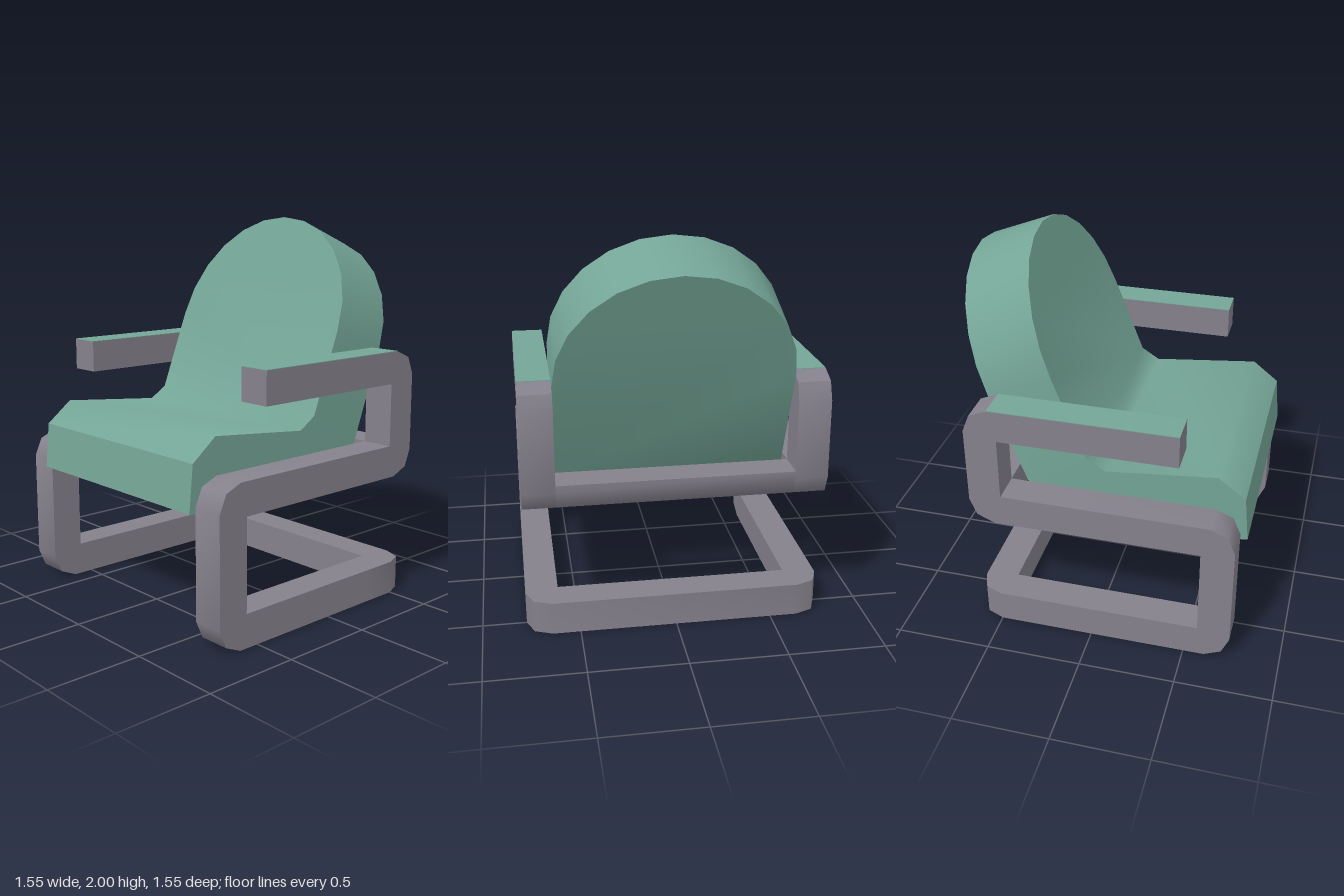
import * as THREE from 'three';
import { mergeGeometries, toCreasedNormals } from 'three/addons/utils/BufferGeometryUtils.js';

const CREASE = Math.PI / 4;
const SEAT_HALF = 0.605; // half width of the seat, inner face of the frame
const FRAME_HALF = 0.773; // outer face of the frame

const shapeOf = (points) => new THREE.Shape(points.map(([x, y]) => new THREE.Vector2(x, y)));

// Extrude a side profile (x, y) between two z values
function slab(points, z0, z1) {
  const geo = new THREE.ExtrudeGeometry(shapeOf(points), { depth: z1 - z0, bevelEnabled: false });
  return geo.translate(0, 0, z0);
}

export function createModel() {
  const chair = new THREE.Group();
  chair.name = 'cantileverArmchair';

  const frameMat = new THREE.MeshStandardMaterial({ color: 0x85818c });
  frameMat.name = 'frameGrey';
  const greenMat = new THREE.MeshStandardMaterial({ color: 0x74a596 });
  greenMat.name = 'upholsteryGreen';

  const add = (name, geo, mat) => {
    const mesh = new THREE.Mesh(toCreasedNormals(geo, CREASE), mat);
    mesh.name = name;
    chair.add(mesh);
    return mesh;
  };

  // Side frames: armrest, rear post, seat rail, front leg and floor runner in one S-shaped band
  const sideProfile = [
    [-0.45, 1.152], [0.46, 1.152], [0.46, 0.82], [-0.61, 0.82],
    [-0.70, 0.782], [-0.74, 0.69], [-0.74, 0.13], [-0.70, 0.04], [-0.61, 0],
    [0.3, 0], [0.3, 0.173], [-0.57, 0.173], [-0.57, 0.65],
    [0.5, 0.65], [0.593, 0.69], [0.63, 0.78], [0.63, 1.19], [0.593, 1.282],
    [0.5, 1.32], [-0.45, 1.32],
  ];
  for (const [side, z0, z1] of [['left', SEAT_HALF, FRAME_HALF], ['right', -FRAME_HALF, -SEAT_HALF]]) {
    add(`${side}SideFrame`, slab(sideProfile, z0, z1), frameMat);
    // Green inlay on top of the armrest
    const pad = new THREE.BoxGeometry(0.95, 0.004, z1 - z0);
    pad.translate(0.025, 1.321, (z0 + z1) / 2);
    add(`${side}ArmPad`, pad, greenMat);
  }

  // Rear cross rail under the backrest
  add('rearRail', slab([
    [0.46, 0.82], [0.46, 0.65], [0.5, 0.65], [0.593, 0.69], [0.63, 0.78], [0.63, 0.82],
  ], -SEAT_HALF, SEAT_HALF), frameMat);

  // Rear of the floor base: U in plan with cut corners
  const halfPlan = [[0.3, FRAME_HALF], [0.5, FRAME_HALF], [0.593, 0.735], [0.63, 0.643]];
  const mirrored = halfPlan.map(([x, z]) => [x, -z]).reverse();
  const base = new THREE.ExtrudeGeometry(shapeOf([
    ...halfPlan, ...mirrored,
    [0.3, -SEAT_HALF], [0.46, -SEAT_HALF], [0.46, SEAT_HALF], [0.3, SEAT_HALF],
  ]), { depth: 0.173, bevelEnabled: false });
  base.rotateX(-Math.PI / 2);
  add('floorBase', base, frameMat);

  // Backrest: round-topped slab, its lower edge mitred to meet the seat
  const up = new THREE.Vector3(0.3625, 0.932, 0).normalize();
  const rear = new THREE.Vector3(up.y, -up.x, 0);
  const origin = new THREE.Vector3(0.0553, 1.0127, 0);
  const depth = 0.36, drop = -0.132, archY = 0.455;
  const outline = [[-SEAT_HALF, 0], [SEAT_HALF, 0]];
  for (let i = 0; i <= 12; i++) {
    const a = (i / 12) * Math.PI;
    outline.push([Math.cos(a) * SEAT_HALF, archY + Math.sin(a) * SEAT_HALF]);
  }
  const back = new THREE.ExtrudeGeometry(shapeOf(outline), { depth, bevelEnabled: false });
  const pos = back.attributes.position;
  for (let i = 0; i < pos.count; i++) {
    if (pos.getY(i) < 0.01 && pos.getZ(i) > 0.01) pos.setY(i, drop);
  }
  back.applyMatrix4(new THREE.Matrix4()
    .makeBasis(new THREE.Vector3(0, 0, -1), up, rear)
    .setPosition(origin));

  // Seat cushion, sharing the mitred edge with the backrest
  const heel = origin.clone().addScaledVector(up, drop).addScaledVector(rear, depth);
  const seat = slab([
    [-0.777, 0.662], [0.042, 0.578], [heel.x, heel.y], [origin.x, origin.y],
    [-0.042, 0.951], [-0.615, 1.01], [-0.755, 0.9],
  ], -SEAT_HALF, SEAT_HALF);
  add('seatAndBackrest', mergeGeometries([seat, back]), greenMat);

  return chair;
}
